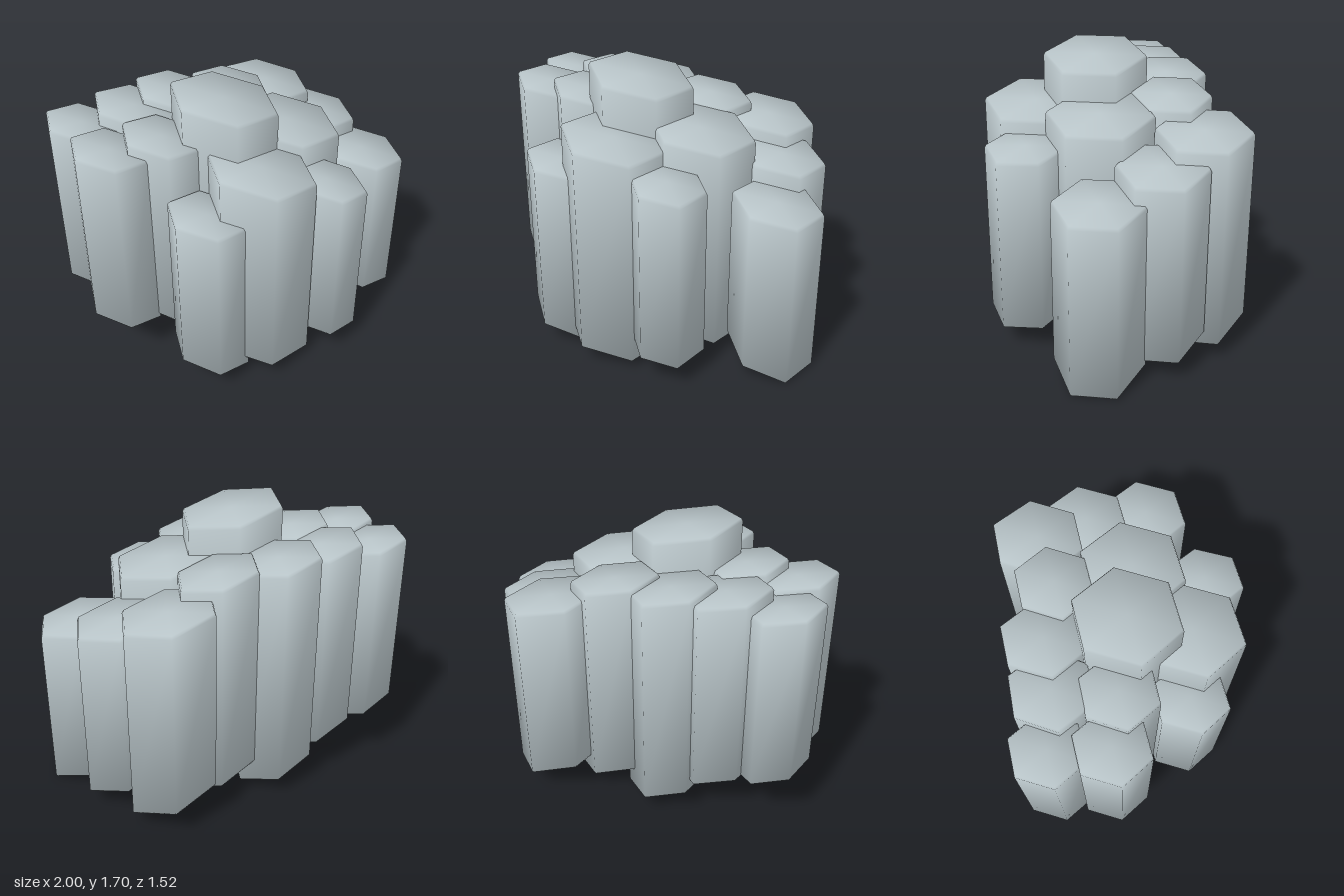
import * as THREE from 'three';

// one column: x, z, radius, depth scale, height of top centre, height of bottom centre, bottom slope, turn
const COLUMNS = [
  [-0.71, -0.57, 0.22, 1, 1.48, 0.385, 0.28, 0],
  [-0.40, -0.48, 0.25, 1, 1.50, 0.28, 0.28, 0.04],
  [-0.10, -0.46, 0.25, 1.01, 1.49, 0.12, 0.28, 0],
  [0.23, -0.335, 0.252, 0.94, 1.45, 0.15, 0.28, 0],
  [0.59, -0.366, 0.28, 1, 1.33, 0.175, 0.29, 0.02],
  [0.71, -0.05, 0.262, 1, 1.20, 0.18, 0.28, 0],
  [0.738, 0.335, 0.262, 1, 1.06, 0.072, 0.31, 0],
  [-0.775, -0.235, 0.225, 1, 1.485, 0.32, 0.27, 0],
  [-0.49, -0.13, 0.235, 1, 1.49, 0.26, 0.26, 0.03],
  [-0.135, 0, 0.317, 0.99, 1.64, 0.20, 0.26, 0],
  [0.253, 0.127, 0.32, 0.99, 1.39, 0.165, 0.24, 0],
  [-0.53, 0.28, 0.234, 1, 1.185, 0.125, 0.29, 0],
  [-0.2, 0.36, 0.315, 1, 1.38, 0.105, 0.18, 0],
  [0.15, 0.543, 0.222, 1.1, 1.22, 0.175, 0.18, 0],
];

// six-sided prism with slanted ends, a fine bevel and softly rounded shading
function columnGeometry(r, depth, top, bottom, slope, turn) {
  const topY = (x, z) => top - 0.17 * x - 0.1 * z;
  const bottomY = (x, z) => bottom - slope * x - slope * 0.58 * z;
  const up = new THREE.Vector3(0.17, 1, 0.1).normalize();
  const down = new THREE.Vector3(-slope, -1, -slope * 0.58).normalize();
  // inset, height rule, offset, end direction, share of the end in the normal
  const rings = [
    [0.01, bottomY, 0, down, 0.6],
    [0, bottomY, 0.014, down, 0.33],
    [0, topY, -0.018, up, 0.33],
    [0.01, topY, 0, up, 0.6],
  ];
  const pos = [], normals = [], index = [];
  for (const [inset, height, offset, end, share] of rings) {
    for (let k = 0; k < 6; k++) {
      const a = (k * Math.PI) / 3 + turn;
      const out = new THREE.Vector3(Math.cos(a), 0, Math.sin(a));
      const x = (r - inset) * out.x, z = (r - inset) * depth * out.z;
      pos.push(x, height(x, z) + offset, z);
      normals.push(...out.lerp(end, share).normalize().toArray());
    }
  }
  // end centres
  pos.push(0, bottom, 0, 0, top, 0);
  normals.push(...down.toArray(), ...up.toArray());

  for (let k = 0; k < 6; k++) {
    const n = (k + 1) % 6;
    for (let s = 0; s < 18; s += 6) {
      index.push(s + k, s + 6 + k, s + n, s + n, s + 6 + k, s + 6 + n);
    }
    index.push(24, k, n, 25, 18 + n, 18 + k);
  }
  const geo = new THREE.BufferGeometry();
  geo.setAttribute('position', new THREE.Float32BufferAttribute(pos, 3));
  geo.setAttribute('normal', new THREE.Float32BufferAttribute(normals, 3));
  geo.setIndex(index);
  return geo;
}

export function createModel() {
  const group = new THREE.Group();
  group.name = 'basaltColumns';
  const stone = new THREE.MeshStandardMaterial({ color: 0xb8c4c8 });
  stone.name = 'grey stone';

  COLUMNS.forEach(([x, z, ...shape], i) => {
    const column = new THREE.Mesh(columnGeometry(...shape), stone);
    column.name = `stoneColumn${i + 1}`;
    column.position.set(x, 0, z);
    group.add(column);
  });
  return group;
}
